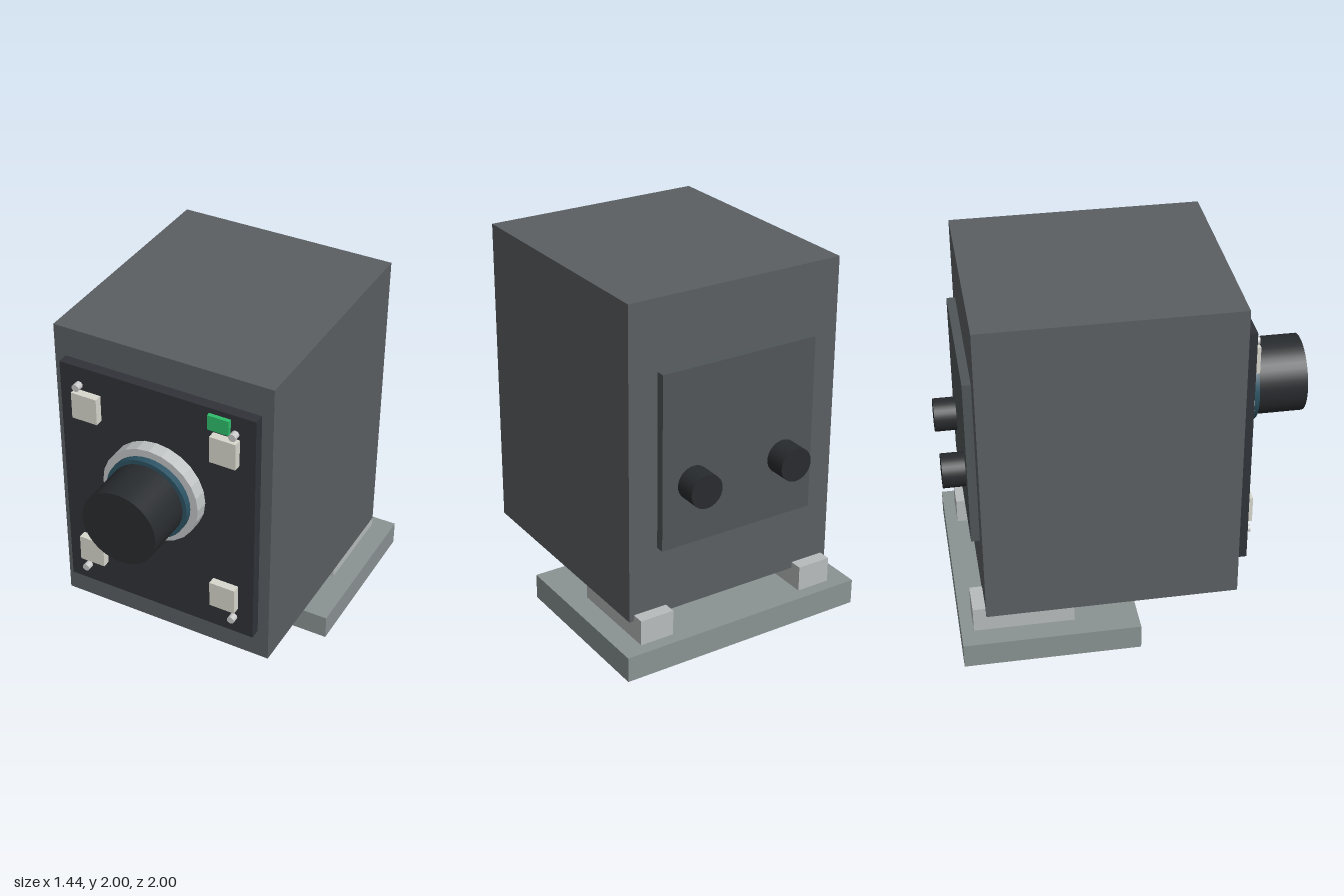
import * as THREE from 'three';

export function createModel() {
  const model = new THREE.Group();
  const mat = (color, flatShading = false) => new THREE.MeshStandardMaterial({ color, flatShading });
  const bodyGrey = mat(0x5a5f62), panelDark = mat(0x303338), panelGrey = mat(0x505558);
  const baseGrey = mat(0x8a9293), padGrey = mat(0xb8bcbd), cream = mat(0xd8d8ce);
  const black = mat(0x282b2e), blue = mat(0x2c5364), green = mat(0x2ebd6b);
  const silver = mat(0xc0c4c5, true), screwGrey = mat(0xc0c2c3);

  const add = (name, geometry, material) => {
    const mesh = new THREE.Mesh(geometry, material);
    mesh.name = name;
    model.add(mesh);
    return mesh;
  };
  // Box given by its extents on each axis
  const box = (name, [x0, x1], [y0, y1], [z0, z1], material) =>
    add(name, new THREE.BoxGeometry(x1 - x0, y1 - y0, z1 - z0), material)
      .position.set((x0 + x1) / 2, (y0 + y1) / 2, (z0 + z1) / 2);
  // Cylinder lying along z
  const disc = (name, x, y, r, [z0, z1], sides, material) =>
    add(name, new THREE.CylinderGeometry(r, r, z1 - z0, sides).rotateX(Math.PI / 2), material)
      .position.set(x, y, (z0 + z1) / 2);

  // Housing and panels
  box('housing', [-0.627, 0.627], [0.25, 2], [-0.83, 0.55], bodyGrey);
  box('frontPlate', [-0.563, 0.563], [0.425, 1.83], [0.55, 0.61], panelDark);
  box('rearPanel', [-0.46, 0.46], [0.64, 1.615], [-0.877, -0.83], panelGrey);

  // Lens
  disc('lensCollar', 0, 1.23, 0.28, [0.61, 0.69], 24, silver);
  disc('lensRing', 0, 1.23, 0.237, [0.61, 0.728], 40, blue);
  disc('lensBarrel', 0, 1.23, 0.213, [0.61, 1], 40, black);

  // Corner blocks and screws on the front plate
  for (const x of [-0.4, 0.4]) {
    for (const y of [0.67, 1.615])
      box('cornerBlock', [x - 0.074, x + 0.074], [y - 0.077, y + 0.077], [0.61, 0.655], cream);
    for (const y of [0.53, 1.722])
      disc('screw', Math.sign(x) * 0.45, y, 0.021, [0.61, 0.65], 16, screwGrey);
  }
  box('indicator', [0.303, 0.423], [1.715, 1.8], [0.61, 0.633], green);

  // Rear knobs and mounting pads
  for (const s of [-1, 1]) {
    disc('rearKnob', s * 0.275, 0.985, 0.093, [-1, -0.877], 32, black);
    const xs = [s * 0.405, s * 0.6].sort((a, b) => a - b);
    box('mountingPad', xs, [0.14, 0.285], [-0.9, -0.348], padGrey);
  }
  box('basePlate', [-0.72, 0.72], [0, 0.142], [-0.968, 0], baseGrey);

  return model;
}
